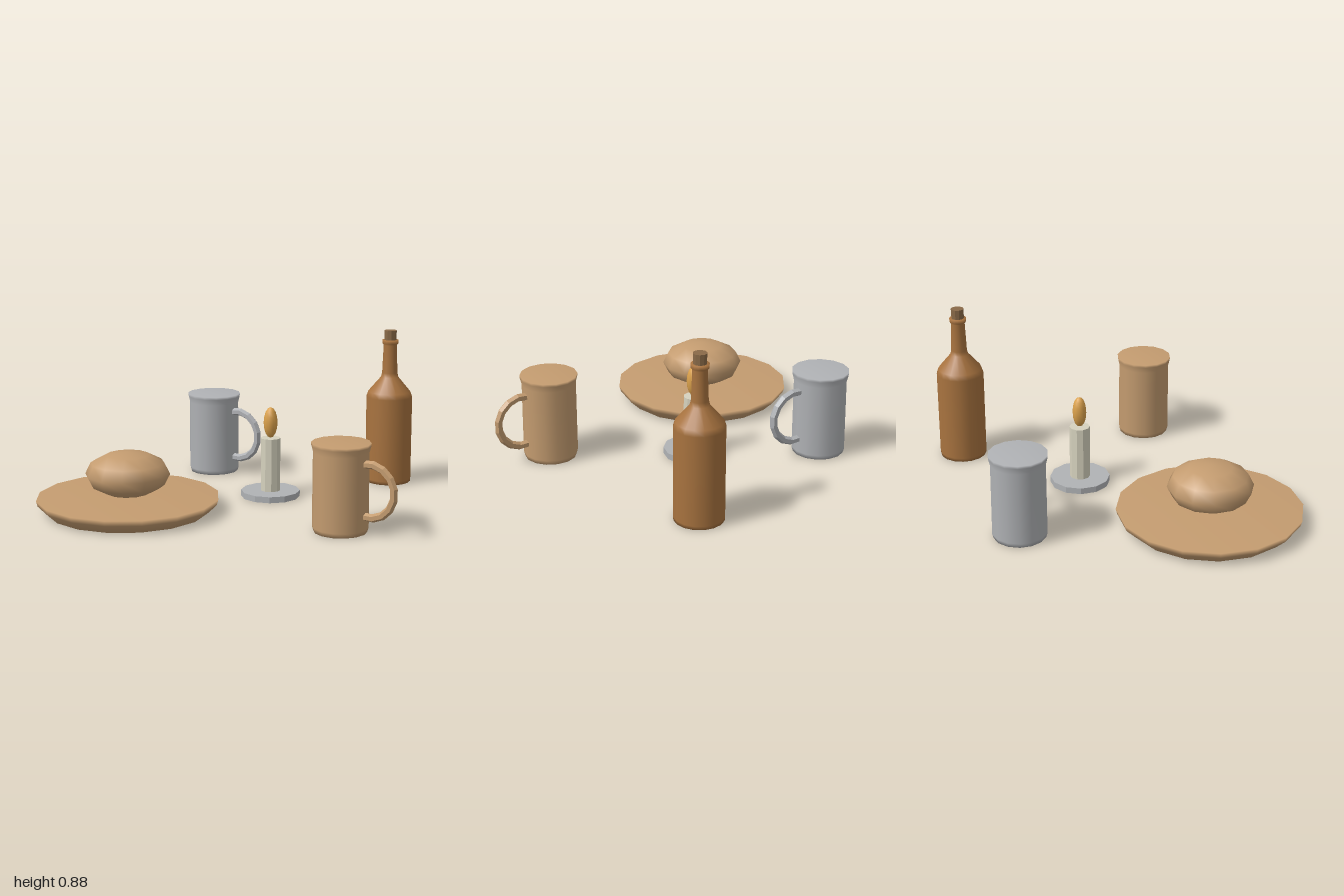
import * as THREE from 'three';

const paint = (name, color, flatShading = false) => {
  const m = new THREE.MeshStandardMaterial({ color, flatShading });
  m.name = name;
  return m;
};

export function createModel() {
  const tan = paint('tan', 0xc49c70);
  const pewter = paint('pewter', 0xb0b2b5);
  const bottleBrown = paint('bottle brown', 0xa8733f);
  const corkBrown = paint('cork brown', 0x8a6a48);
  const wax = paint('wax', 0xd6d2be);
  const flameOrange = paint('flame orange', 0xdca24c);

  const model = new THREE.Group();
  model.name = 'tableSetting';

  const group = (name, x, z) => {
    const g = new THREE.Group();
    g.name = name;
    g.position.set(x, 0, z);
    model.add(g);
    return g;
  };
  const add = (parent, name, geometry, material, y = 0) => {
    const mesh = new THREE.Mesh(geometry, material);
    mesh.name = name;
    mesh.position.y = y;
    parent.add(mesh);
    return mesh;
  };
  const lathe = (profile, sides) =>
    new THREE.LatheGeometry(profile.map(([r, y]) => new THREE.Vector2(r, y)), sides);
  // faceted solid with one normal per face
  const faceted = (geometry) => {
    const g = geometry.toNonIndexed();
    g.computeVertexNormals();
    return g;
  };
  const ellipsoid = (r, h, around, rings) =>
    new THREE.SphereGeometry(1, around, rings).scale(r, h, r);

  // Plate with a loaf of bread
  const plate = group('plateWithLoaf', -0.5, 0.48);
  add(plate, 'plate', lathe([[0, 0], [0.435, 0], [0.488, 0.05], [0.497, 0.08], [0, 0.08]], 16), tan);
  add(plate, 'loaf', ellipsoid(0.23, 0.122, 12, 6), tan, 0.206);

  // Mugs: a closed body and a bent handle on the +x side
  const mugProfile = [[0, 0], [0.14, 0], [0.147, 0.025], [0.145, 0.42], [0.154, 0.455], [0.155, 0.47], [0, 0.47]];
  const half = THREE.MathUtils.degToRad(104);
  const addMug = (name, x, z, material) => {
    const mug = group(name, x, z);
    add(mug, 'mugBody', lathe(mugProfile, 14).rotateY(Math.PI / 2), material);
    const handle = new THREE.TorusGeometry(0.141, 0.022, 6, 9, half * 2).rotateZ(-half);
    add(mug, 'mugHandle', faceted(handle), material, 0.235).position.x = 0.166;
  };
  addMug('tanMug', 0.662, 0.212, tan);
  addMug('pewterMug', -0.603, -0.52, pewter);

  // Candle on its holder
  const candle = group('candle', -0.005, -0.188);
  add(candle, 'holder', faceted(new THREE.CylinderGeometry(0.165, 0.165, 0.034, 12)), pewter, 0.017);
  add(candle, 'waxStick', faceted(new THREE.CylinderGeometry(0.056, 0.056, 0.3, 10)), wax, 0.184);
  add(candle, 'flame', ellipsoid(0.039, 0.087, 10, 8), flameOrange, 0.421);

  // Corked bottle
  const bottle = group('bottle', 0.395, -0.85);
  add(bottle, 'bottleBody', lathe([
    [0, 0], [0.13, 0], [0.132, 0.02], [0.132, 0.5], [0.122, 0.53], [0.05, 0.615],
    [0.044, 0.64], [0.038, 0.8], [0.046, 0.81], [0.047, 0.83], [0, 0.83],
  ], 16), bottleBrown);
  add(bottle, 'cork', faceted(new THREE.CylinderGeometry(0.036, 0.034, 0.07, 10)), corkBrown, 0.85);

  return model;
}
